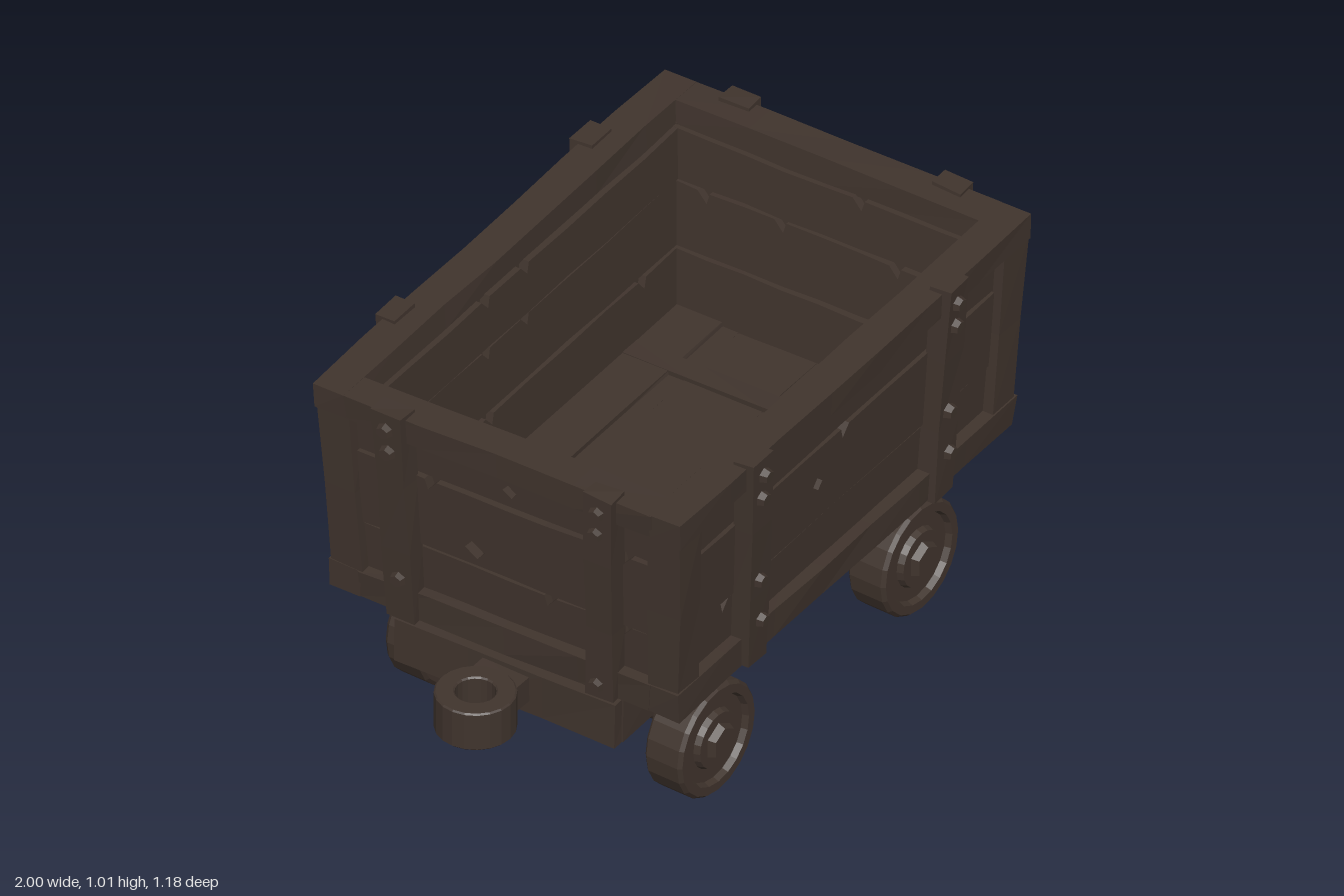
import * as THREE from 'three';

const HX = 0.72, HZ = 0.497, Y0 = 0.39, Y1 = 1.0; // tub half sizes at its base, and its height range
const RIM = 0.087; // thickness of rails and posts

const wood = new THREE.MeshStandardMaterial({ color: 0x40342d });
wood.name = 'dark brown wood';

let seed = 7;
const rand = () => {
  seed = (seed * 16807) % 2147483647;
  return seed / 2147483647;
};
const jitter = (a) => (rand() - 0.5) * 2 * a;

// Box with a few cuts along its longest side and slightly worn corners
function wornBox(w, h, d, wear = 0.003) {
  const m = Math.max(w, h, d);
  const cuts = (s) => (s === m ? Math.max(1, Math.round(m / 0.2)) : 1);
  const g = new THREE.BoxGeometry(w, h, d, cuts(w), cuts(h), cuts(d));
  const p = g.attributes.position, moved = new Map();
  for (let i = 0; i < p.count; i++) {
    const key = [p.getX(i), p.getY(i), p.getZ(i)].map((v) => v.toFixed(3)).join();
    if (!moved.has(key)) moved.set(key, [jitter(wear), jitter(wear), jitter(wear)]);
    const o = moved.get(key);
    p.setXYZ(i, p.getX(i) + o[0], p.getY(i) + o[1], p.getZ(i) + o[2]);
  }
  const flat = g.toNonIndexed();
  flat.computeVertexNormals();
  return flat;
}

// Plank with uneven long edges, chips and an optional diamond knot hole
function plank(halfLength, yLow, yHigh, depth, knot) {
  const s = new THREE.Shape(), n = 8;
  const at = (i) => -halfLength + (2 * halfLength * i) / n;
  s.moveTo(-halfLength, yLow);
  for (let i = 1; i < n; i++) s.lineTo(at(i), yLow + rand() * 0.006);
  s.lineTo(halfLength, yLow);
  s.lineTo(halfLength, yHigh);
  for (let i = n - 1; i > 0; i--) {
    const x = at(i), y = yHigh - rand() * 0.006;
    if (rand() < 0.3) { // chipped notch
      s.lineTo(x + 0.025, y);
      s.lineTo(x, y - 0.03);
      s.lineTo(x - 0.008, y);
    } else s.lineTo(x, y);
  }
  s.lineTo(-halfLength, yHigh);
  if (knot) {
    const [x, y, r] = knot, hole = new THREE.Path();
    hole.moveTo(x + r, y).lineTo(x + r * 0.2, y - r).lineTo(x - r, y - r * 0.1).lineTo(x - r * 0.1, y + r);
    s.holes.push(hole);
  }
  return new THREE.ExtrudeGeometry(s, { depth, bevelEnabled: false });
}

// Widen the tub towards its top
function flare(g) {
  const p = g.attributes.position;
  for (let i = 0; i < p.count; i++) {
    const t = (p.getY(i) - Y0) / (Y1 - Y0);
    p.setX(i, p.getX(i) * (1 + 0.05 * t));
    p.setZ(i, p.getZ(i) * (1 + 0.06 * t));
  }
  g.computeVertexNormals();
  return g;
}

function add(parent, name, geometry) {
  const mesh = new THREE.Mesh(geometry, wood);
  mesh.name = name;
  parent.add(mesh);
  return mesh;
}

// One wall: quarter = number of quarter turns from the front
function buildWall(tub, name, quarter) {
  const wall = new THREE.Group();
  wall.name = name;
  tub.add(wall);
  const long = quarter % 2 === 0;
  const U = long ? HX : HZ, H = long ? HZ : HX;
  const put = (part, g, u, y, out) => {
    g.translate(u, y, H + out);
    g.rotateY((quarter * Math.PI) / 2);
    add(wall, part, flare(g));
  };

  // Rails
  const railLength = long ? 2 * U : 2 * U - 2 * RIM + 0.01;
  put('topRail', wornBox(railLength, 0.07, RIM), 0, 0.965, -RIM / 2);
  put('bottomRail', wornBox(railLength, 0.08, RIM), 0, 0.43, -RIM / 2);

  // Recessed outer planks, a solid core and inner lining planks
  put('wallCore', new THREE.BoxGeometry(2 * U - 0.1, 0.52, 0.025), 0, 0.69, -0.066);
  const seams = [0.46, 0.6, 0.82, 0.94];
  const knots = long ? [null, [-0.1, 0.71, 0.02], null] : [null, [-0.09, 0.655, 0.028], [0.01, 0.87, 0.02]];
  const lining = [0.42, 0.6, 0.79, 0.94];
  for (let i = 0; i < 3; i++) {
    put('plank', plank(U - 0.07, seams[i] + 0.002, seams[i + 1] - 0.002, 0.03, knots[i]),
      0, 0, -0.06 + jitter(0.004));
    put('liningPlank', plank(U - 0.075, lining[i] + 0.002, lining[i + 1] - 0.004, 0.025),
      0, 0, -0.1 + jitter(0.004));
  }

  // Straps with hexagonal bolts
  for (const side of [-1, 1]) {
    const u = long ? side * 0.4 - 0.01 : side * 0.285;
    put('strap', wornBox(0.08, 0.62, 0.055), u, 0.7, -0.007);
    const lowBolts = long ? [0.645, 0.515] : [side < 0 ? 0.515 : 0.428];
    for (const y of [0.962, 0.897, ...lowBolts]) {
      const bolt = new THREE.CylinderGeometry(0.016, 0.022, 0.02, 6).toNonIndexed();
      bolt.rotateX(Math.PI / 2);
      put('bolt', bolt, u + jitter(0.008), y, 0.027);
    }
  }
}

function buildTub() {
  const tub = new THREE.Group();
  tub.name = 'tub';
  ['frontWall', 'leftWall', 'backWall', 'rightWall'].forEach((n, i) => buildWall(tub, n, i));

  // Corner posts
  for (const sx of [-1, 1]) for (const sz of [-1, 1]) {
    const g = wornBox(RIM, 0.48, RIM);
    g.translate(sx * (HX - 0.048), 0.7, sz * (HZ - 0.048));
    add(tub, 'cornerPost', flare(g));
  }

  // Floor boards with raised border boards
  for (let i = 0; i < 4; i++) {
    add(tub, 'floorBoard', wornBox(1.36, 0.03, 0.226, 0.002)).position.set(0, 0.41, -0.3375 + i * 0.225);
  }
  for (const s of [-1, 1]) {
    add(tub, 'floorBatten', wornBox(0.06, 0.015, 0.84, 0.002)).position.set(s * 0.42, 0.43, 0);
    add(tub, 'floorBorder', wornBox(1.28, 0.012, 0.14, 0.002)).position.set(0, 0.43, s * 0.34);
  }
  return tub;
}

function buildChassis() {
  const chassis = new THREE.Group();
  chassis.name = 'chassis';
  add(chassis, 'deck', wornBox(1.42, 0.115, 0.6, 0.002)).position.set(0.01, 0.302, 0);
  for (const s of [-1, 1]) {
    add(chassis, 'sideBeam', wornBox(1.4, 0.125, 0.07)).position.set(0.01, 0.303, s * 0.285);
    add(chassis, 'endBeam', wornBox(0.07, 0.125, 0.63)).position.set(0.01 + s * 0.695, 0.303, 0);
  }

  // Coupling rings
  for (const [x, z, r] of [[0.936, 0.018, 0.113], [-0.85, 0.003, 0.1]]) {
    const ring = new THREE.Shape().absarc(0, 0, r, 0, Math.PI * 2);
    ring.holes.push(new THREE.Path().absarc(0, 0, r * 0.5, 0, Math.PI * 2, true));
    const g = new THREE.ExtrudeGeometry(ring, {
      depth: 0.1, curveSegments: 10, bevelSize: 0.004, bevelThickness: 0.004, bevelOffset: -0.004, bevelSegments: 1,
    });
    g.rotateX(-Math.PI / 2);
    add(chassis, 'couplingRing', g).position.set(x, 0.261, z);
    const inner = Math.sign(x) * 0.7, end = x - Math.sign(x) * r * 0.72;
    add(chassis, 'couplingNeck', wornBox(Math.abs(end - inner), 0.075, 0.135))
      .position.set((inner + end) / 2, 0.315, z);
  }
  return chassis;
}

// Wheel with raised rim, hub disc and hexagonal nut, facing +z
function buildWheel() {
  const wheel = new THREE.Group();
  wheel.name = 'wheel';
  const profile = [
    [0, -0.057], [0.145, -0.057], [0.153, -0.049], [0.153, 0.042], [0.145, 0.052],
    [0.122, 0.052], [0.116, 0.036], [0.08, 0.036], [0.074, 0.052], [0, 0.052],
  ].map(([r, y]) => new THREE.Vector2(r, y));
  const disc = new THREE.LatheGeometry(profile, 20).toNonIndexed();
  disc.computeVertexNormals();
  disc.rotateX(Math.PI / 2);
  add(wheel, 'wheelDisc', disc);
  const nut = new THREE.CylinderGeometry(0.042, 0.052, 0.022, 6).toNonIndexed();
  nut.computeVertexNormals();
  nut.rotateX(Math.PI / 2);
  add(wheel, 'hubNut', nut).position.z = 0.06;
  return wheel;
}

// Axle with a wheel on each end
function buildWheelset() {
  const wheelset = new THREE.Group();
  wheelset.name = 'wheelset';
  const axle = new THREE.CylinderGeometry(0.032, 0.032, 0.72, 8);
  axle.rotateX(Math.PI / 2);
  add(wheelset, 'axle', axle).position.y = 0.175;
  for (const s of [-1, 1]) {
    const wheel = buildWheel();
    wheel.position.set(0, 0.154, s * 0.387);
    if (s < 0) wheel.rotation.y = Math.PI;
    wheelset.add(wheel);
  }
  return wheelset;
}

export function createModel() {
  const cart = new THREE.Group();
  cart.name = 'cart';
  cart.add(buildTub(), buildChassis());

  // The wheelsets are turned a little against the chassis
  for (const x of [-0.438, 0.436]) {
    const wheelset = buildWheelset();
    wheelset.position.x = x;
    wheelset.rotation.y = -0.049;
    cart.add(wheelset);
  }

  // The cart stands slightly turned
  cart.rotation.y = 0.063;
  cart.position.set(-0.05, 0, -0.003);
  const model = new THREE.Group();
  model.name = 'wagon';
  model.add(cart);
  return model;
}
